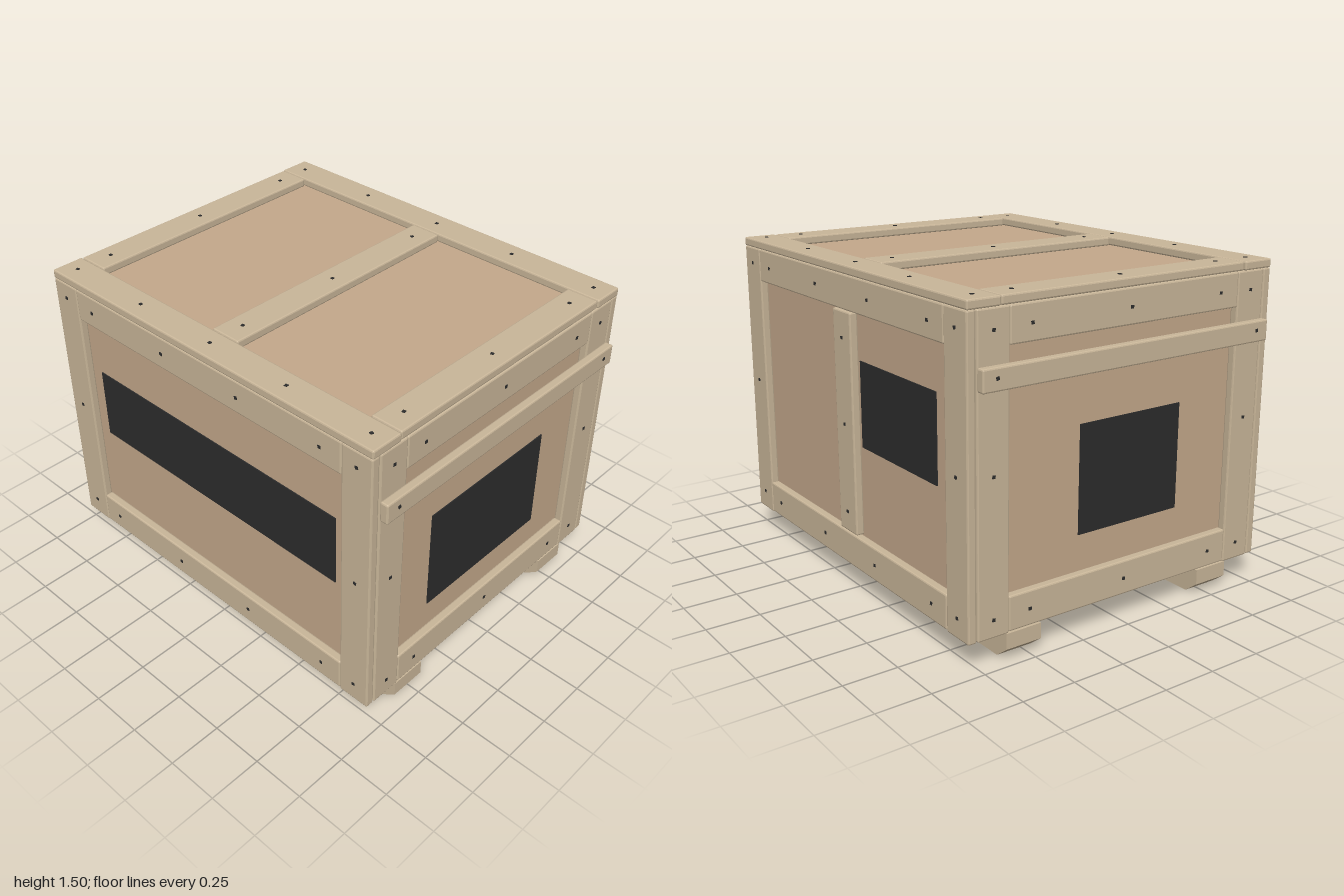
import * as THREE from 'three';
import { RoundedBoxGeometry } from 'three/addons/geometries/RoundedBoxGeometry.js';

const mat = (color) => new THREE.MeshStandardMaterial({ color, flatShading: true });
const wood = mat(0xc9b699), plywood = mat(0xc4a88b), dark = mat(0x2c2c2c);

const T = 0.04; // board thickness
const H = { x: 0.92, z: 0.76 }; // half size of the plywood box
const BOTTOM = 0.12, TOP = 1.46;

export function createModel() {
  const crate = new THREE.Group();
  crate.name = 'crate';

  const add = (parent, name, geometry, material, x, y, z) => {
    const mesh = new THREE.Mesh(geometry, material);
    mesh.name = name;
    mesh.position.set(x, y, z);
    parent.add(mesh);
    return mesh;
  };

  // One side of the crate: local x across, y up, z outward
  const makeFace = (name, depth, rx, ry) => {
    const group = new THREE.Group();
    group.name = name;
    group.rotation.set(rx, ry, 0);
    crate.add(group);
    return {
      // Board with chamfered edges lying on the plywood, or on another board (layer 1)
      board(part, x0, x1, y0, y1, layer = 0) {
        add(group, part, new RoundedBoxGeometry(x1 - x0, y1 - y0, T, 1, 0.007), wood,
          (x0 + x1) / 2, (y0 + y1) / 2, depth + T * (layer + 0.5));
      },
      // Small square nail heads
      nails(xs, ys, layer = 0) {
        for (const x of xs) for (const y of ys) {
          const nail = add(group, 'nail', new THREE.BoxGeometry(0.014, 0.014, 0.006), dark,
            x, y, depth + T * (layer + 1));
          nail.rotation.z = 0.25 * Math.sin(x * 37 + y * 91);
        }
      },
      panel(x0, x1, y0, y1) {
        add(group, 'darkPanel', new THREE.BoxGeometry(x1 - x0, y1 - y0, 0.006), dark,
          (x0 + x1) / 2, (y0 + y1) / 2, depth + 0.002);
      },
    };
  };

  // Plywood box
  add(crate, 'plywoodBox', new THREE.BoxGeometry(H.x * 2, TOP - BOTTOM, H.z * 2), plywood,
    0, (TOP + BOTTOM) / 2, 0);

  // Posts and rails shared by the four upright sides
  const frame = (face, outer, inner) => {
    for (const s of [-1, 1]) {
      face.board('post', Math.min(s * inner, s * outer), Math.max(s * inner, s * outer), BOTTOM, TOP);
    }
    face.board('topRail', -inner, inner, 1.305, TOP);
    face.board('bottomRail', -inner, inner, 0.125, 0.28);
  };

  const front = makeFace('front', H.z, 0, 0);
  const back = makeFace('back', H.z, 0, Math.PI);
  for (const face of [front, back]) {
    frame(face, 0.958, 0.802);
    face.nails([-0.88, 0.88], [0.21, 0.8, 1.385]);
    face.nails([-0.7, -0.23, 0.23, 0.69], [0.2, 1.38]);
  }
  front.panel(-0.74, 0.74, 0.685, 1.03);
  back.board('middlePost', -0.075, 0.075, 0.285, 1.3);
  back.nails([0], [0.38, 0.79, 1.18]);
  back.panel(0.09, 0.69, 0.7, 1.09);

  const plusSide = makeFace('leftSide', H.x, 0, Math.PI / 2);
  const minusSide = makeFace('rightSide', H.x, 0, -Math.PI / 2);
  for (const face of [plusSide, minusSide]) {
    frame(face, 0.756, 0.604);
    face.board('liftingRail', -0.757, 0.757, 1.147, 1.242, 1);
    face.nails([-0.68, 0.68], [0.2, 0.8, 1.375]);
    face.nails([-0.5, 0, 0.5], [0.2, 1.38]);
    face.nails([-0.69, 0.69], [1.2], 1);
  }
  plusSide.panel(-0.38, 0.38, 0.41, 0.91);
  minusSide.panel(-0.225, 0.32, 0.44, 0.92);

  // Lid boards
  const lid = makeFace('lid', TOP, -Math.PI / 2, 0);
  for (const y of [-0.722, 0.722]) {
    lid.board('lidEndBoard', -0.96, 0.96, y - 0.078, y + 0.078);
    lid.nails([-0.88, -0.44, 0, 0.44, 0.88], [y]);
  }
  for (const x of [-0.879, 0, 0.879]) {
    lid.board('lidCrossBoard', x - 0.076, x + 0.076, -0.64, 0.64);
    lid.nails([x], [-0.54, 0, 0.54]);
  }

  // Skids with cut lower corners
  const profile = new THREE.Shape([
    [-0.96, BOTTOM], [-0.96, 0.05], [-0.895, 0], [0.895, 0], [0.96, 0.05], [0.96, BOTTOM],
  ].map(([x, y]) => new THREE.Vector2(x, y)));
  const skid = new THREE.ExtrudeGeometry(profile, { depth: 0.175, bevelEnabled: false });
  for (const z of [-0.53, 0.53]) add(crate, 'skid', skid, wood, 0, 0, z - 0.0875);

  return crate;
}
